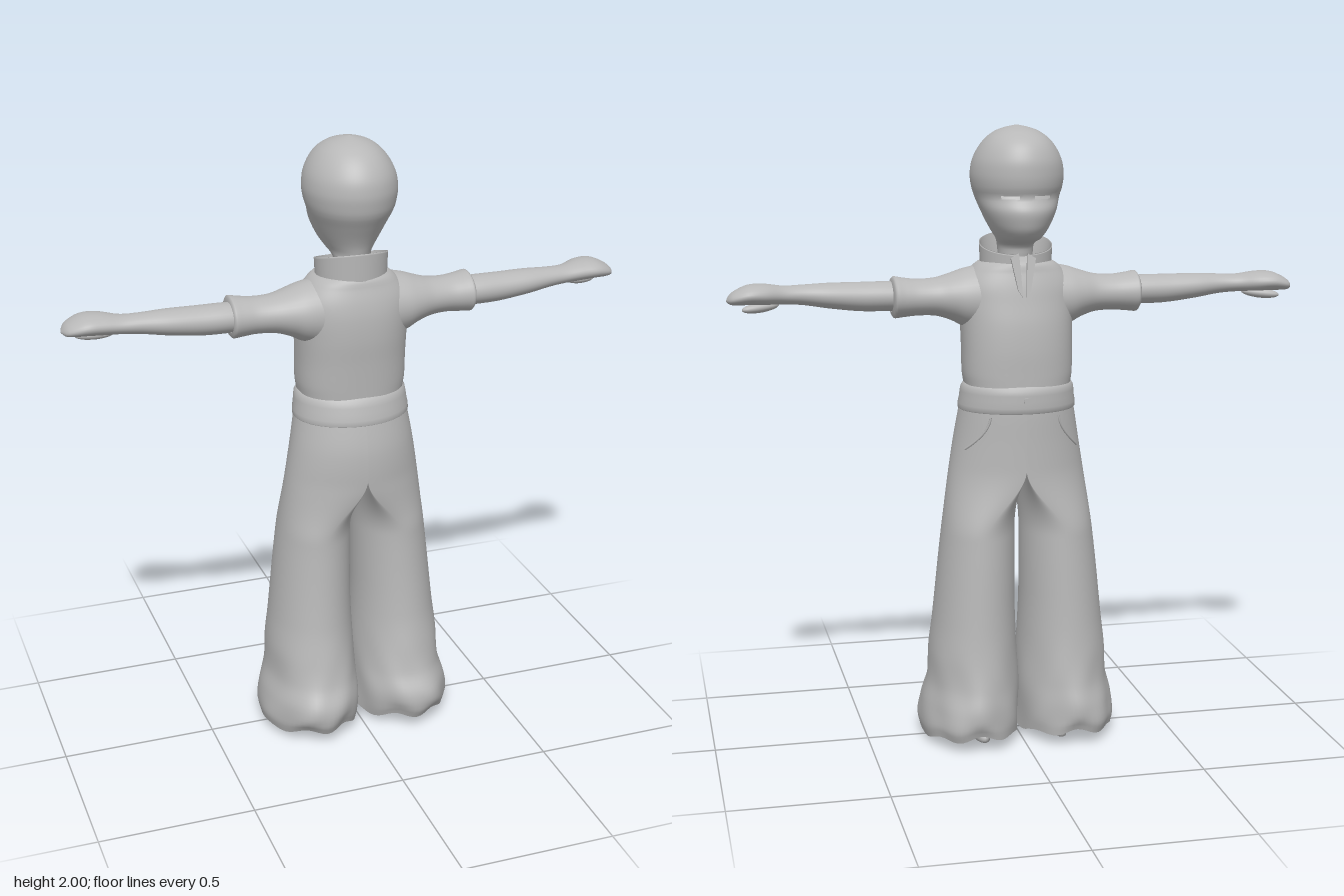
import * as THREE from 'three';

const { sin, cos, PI, max, min, abs, sign, pow } = Math;
const sub = THREE.MathUtils.smoothstep;

// Smooth interpolation of key rows [t, v1, v2, ...]
function track(rows) {
  const slope = (i, k) => {
    const a = rows[max(i - 1, 0)], b = rows[min(i + 1, rows.length - 1)];
    return (b[k] - a[k]) / (b[0] - a[0]);
  };
  return t => {
    let i = 0;
    while (i < rows.length - 2 && t > rows[i + 1][0]) i++;
    const p = rows[i], q = rows[i + 1], h = q[0] - p[0];
    const u = min(max((t - p[0]) / h, 0), 1), u2 = u * u, u3 = u2 * u;
    return p.map((v, k) => k === 0 ? t :
      v * (2 * u3 - 3 * u2 + 1) + q[k] * (3 * u2 - 2 * u3) +
      h * (slope(i, k) * (u3 - 2 * u2 + u) + slope(i + 1, k) * (u3 - u2)));
  };
}

const range = (a, b, n) => Array.from({ length: n + 1 }, (_, i) => a + (b - a) * i / n);

// Skin rings of points; skip(centre) leaves a face out
function loft(ts, n, point, { skip, arc } = {}) {
  const pos = [], idx = [], cols = arc ? n + 1 : n;
  const [a0, a1] = arc || [0, 2 * PI];
  for (const t of ts) for (let j = 0; j < cols; j++) pos.push(...point(t, a0 + (a1 - a0) * j / n));
  const at = (i, k) => pos[i * 3 + k];
  for (let i = 0; i < ts.length - 1; i++) for (let j = 0; j < n; j++) {
    const a = i * cols + j, b = i * cols + (j + 1) % cols, c = a + cols, d = b + cols;
    const mid = [0, 1, 2].map(k => (at(a, k) + at(b, k) + at(c, k) + at(d, k)) / 4);
    if (!(skip && skip(mid))) idx.push(a, c, b, b, c, d);
  }
  const g = new THREE.BufferGeometry();
  g.setAttribute('position', new THREE.Float32BufferAttribute(pos, 3));
  g.setIndex(idx);
  g.computeVertexNormals();
  return g;
}

function mirrored(geo) {
  const g = geo.clone().scale(-1, 1, 1), ix = g.index.array;
  for (let i = 0; i < ix.length; i += 3) [ix[i + 1], ix[i + 2]] = [ix[i + 2], ix[i + 1]];
  g.computeVertexNormals();
  return g;
}

// Upright ring from [y, front z, back z, half width], optionally squarish
function upright(rows, square = 1) {
  const f = track(rows), s = v => sign(v) * pow(abs(v), square);
  return (t, a) => {
    const [y, zf, zb, rx] = f(t);
    return [rx * s(cos(a)), y, (zf + zb) / 2 + (zb - zf) / 2 * s(sin(a))];
  };
}

// Limb ring along x from [x, centre y, half height, centre z, half depth]
function sideways(rows) {
  const f = track(rows);
  return (t, a) => {
    const [x, y, ry, z, rz] = f(t);
    return [x, y + ry * cos(a), z - rz * sin(a)];
  };
}

export function createModel() {
  const model = new THREE.Group();
  const grey = new THREE.MeshStandardMaterial({ color: 0xb8b8b8, side: THREE.DoubleSide });
  grey.name = 'plain grey';
  const add = (name, geo) => {
    const m = new THREE.Mesh(geo, grey);
    m.name = name;
    model.add(m);
    return m;
  };
  const pair = (name, geo) => {
    add('left' + name, geo);
    add('right' + name, mirrored(geo));
  };

  // Head and neck, with narrow eye slits
  const head = upright([
    [1.52, -0.055, 0.06, 0.055], [1.6, -0.06, 0.068, 0.056], [1.63, -0.075, 0.072, 0.06],
    [1.645, -0.14, 0.076, 0.068], [1.67, -0.172, 0.083, 0.085], [1.7, -0.186, 0.097, 0.102],
    [1.74, -0.192, 0.12, 0.12], [1.78, -0.174, 0.143, 0.134], [1.81, -0.184, 0.151, 0.143],
    [1.85, -0.189, 0.155, 0.147], [1.9, -0.184, 0.145, 0.137], [1.95, -0.155, 0.11, 0.107],
    [1.98, -0.105, 0.065, 0.07], [1.993, -0.06, 0.025, 0.035], [2, -0.018, -0.016, 0.001]]);
  const headRows = [...range(1.52, 1.77, 30), 1.777, 1.787, ...range(1.795, 1.96, 18),
    ...range(1.965, 1.99, 5), 1.994, 1.997, 2];
  add('head', loft(headRows, 72, head, {
    skip: ([x, y, z]) => z < -0.08 && abs(y - 1.782) < 0.004 && abs(abs(x) - 0.052) < 0.025
  }));

  // Shirt body
  add('shirtBody', loft(range(1.185, 1.59, 40), 64, upright([
    [1.185, -0.158, 0.118, 0.172], [1.22, -0.158, 0.12, 0.177], [1.3, -0.157, 0.125, 0.178],
    [1.38, -0.15, 0.131, 0.18], [1.45, -0.137, 0.13, 0.183], [1.5, -0.127, 0.122, 0.178],
    [1.545, -0.114, 0.108, 0.15], [1.575, -0.103, 0.096, 0.112], [1.59, -0.06, 0.06, 0.05]], 0.86)));

  // Sleeves with a turned cuff
  const sleeve = sideways([
    [0.1, 1.455, 0.11, 0, 0.105], [0.17, 1.458, 0.093, 0, 0.1], [0.21, 1.462, 0.076, 0, 0.09],
    [0.26, 1.463, 0.061, 0, 0.075], [0.32, 1.463, 0.058, -0.003, 0.07],
    [0.37, 1.464, 0.063, -0.004, 0.076], [0.395, 1.465, 0.066, -0.005, 0.08],
    [0.4, 1.465, 0.06, -0.003, 0.073], [0.402, 1.466, 0.047, 0.004, 0.058]]);
  pair('Sleeve', loft([...range(0.1, 0.39, 29), 0.395, 0.4, 0.402], 36, sleeve));

  // Arms running into mitten-like hands
  pair('Arm', loft([...range(0.34, 0.9, 50), 0.908, 0.914, 0.918, 0.92], 32, sideways([
    [0.34, 1.467, 0.045, 0.005, 0.055], [0.42, 1.468, 0.047, 0.006, 0.057],
    [0.5, 1.469, 0.046, 0.005, 0.055], [0.6, 1.475, 0.04, 0.003, 0.052],
    [0.68, 1.48, 0.032, 0.001, 0.043], [0.74, 1.482, 0.029, -0.006, 0.045],
    [0.8, 1.487, 0.033, -0.02, 0.062], [0.85, 1.488, 0.031, -0.024, 0.068],
    [0.89, 1.48, 0.023, -0.026, 0.055], [0.91, 1.474, 0.014, -0.026, 0.036],
    [0.92, 1.47, 0.001, -0.026, 0.002]])));
  pair('Thumb', new THREE.SphereGeometry(1, 20, 14).scale(0.062, 0.016, 0.022)
    .rotateY(0.3).rotateZ(-0.1).translate(0.815, 1.449, -0.035));

  // Standing collar, open at the front and higher at the back
  const collar = (t, a) => {
    const u = min(t, 1), inset = max(t - 1, 0) * 0.012, r = 1 + 0.03 * u;
    const z = -0.003 + (0.104 * r - inset) * sin(a);
    return [(0.114 * r - inset) * cos(a), 1.55 + u * (0.078 + 0.27 * z) - max(t - 1.4, 0) * 0.12, z];
  };
  const gap = 0.13;
  add('collar', loft([0, 0.2, 0.4, 0.6, 0.8, 0.95, 1, 1.4, 2], 56, collar,
    { arc: [-PI / 2 + gap, 1.5 * PI - gap] }));

  // Flaps either side of the neck opening
  const flap = new THREE.Shape([[0.006, 1.47], [0.02, 1.49], [0.04, 1.59], [0.014, 1.605], [0.01, 1.55]]
    .map(p => new THREE.Vector2(...p)));
  for (const s of [1, -1]) {
    const g = new THREE.ExtrudeGeometry(flap, { depth: 0.01, bevelEnabled: false });
    const p = g.attributes.position;
    for (let i = 0; i < p.count; i++) p.setZ(i, p.getZ(i) - 0.139 + (p.getY(i) - 1.47) * 0.17);
    g.computeVertexNormals();
    const m = add(s > 0 ? 'leftNeckFlap' : 'rightNeckFlap', g);
    m.scale.x = s;
  }

  // Wide trousers: each half blends from a leg tube to half of the hips
  const hips = track([
    [0.02, -0.222, 0.212, 0.318], [0.06, -0.232, 0.23, 0.325], [0.13, -0.232, 0.237, 0.315],
    [0.2, -0.215, 0.205, 0.298], [0.3, -0.2, 0.18, 0.293], [0.4, -0.19, 0.162, 0.281],
    [0.6, -0.178, 0.145, 0.26], [0.75, -0.17, 0.142, 0.242], [0.88, -0.168, 0.16, 0.224],
    [1, -0.166, 0.162, 0.205], [1.1, -0.165, 0.145, 0.188], [1.18, -0.16, 0.123, 0.174]]);
  const trouser = (t, a) => {
    const [y, zf, zb, X] = hips(t);
    const w = sub(t, 0.7, 0.92), low = 1 - sub(t, 0.04, 0.4), hem = 1 - sub(t, 0.02, 0.12);
    const inner = 0.012 * sub(t, 0.15, 0.5);
    const fold = 1 + low * (0.018 * sin(5 * a + 14 * t) + 0.012 * sin(9 * a - 22 * t));
    const c = (X + inner) / 2, r = (X - inner) / 2;
    const leg = c + r * fold * cos(a), hip = X * max(0, cos(a));
    const z = (zf + zb) / 2 + (zb - zf) / 2 * fold * sin(a);
    const lift = hem * (0.028 * pow(sin(a), 2) + 0.008 * sin(7 * a));
    return [max(0, leg * (1 - w) + hip * w), y + lift, z];
  };
  pair('TrouserHalf', loft(range(0.02, 1.18, 90), 64, trouser,
    { skip: ([x, y]) => x < 0.0005 && y > 0.8 }));

  // Waistband, with a button at the front
  add('waistband', loft([1.1, 1.104, 1.12, 1.14, 1.16, 1.175, 1.185, 1.189], 64, upright([
    [1.1, -0.163, 0.143, 0.187], [1.106, -0.171, 0.148, 0.192], [1.14, -0.171, 0.14, 0.187],
    [1.18, -0.169, 0.128, 0.181], [1.189, -0.156, 0.116, 0.17]])));
  add('button', new THREE.CylinderGeometry(0.011, 0.011, 0.01, 16)
    .rotateX(PI / 2).translate(0, 1.145, -0.172));

  // Slanted front pocket edges lying on the trousers
  const edge = range(0, 1, 8).map(u => {
    const p = trouser(1.09 - 0.11 * u, -0.95 + 0.45 * u * u);
    return new THREE.Vector3(...p);
  });
  pair('PocketEdge', new THREE.TubeGeometry(new THREE.CatmullRomCurve3(edge), 20, 0.004, 6));

  // Shoes and the shins hidden in the trouser legs
  const shoe = upright([
    [0, -0.13, 0.06, 0.03], [0.02, -0.132, 0.062, 0.032], [0.05, -0.09, 0.06, 0.032],
    [0.08, -0.04, 0.056, 0.03], [0.12, -0.02, 0.055, 0.03], [0.4, -0.035, 0.06, 0.042]]);
  const shoeAt = (t, a) => {
    const k = t < 0 ? 0.001 : 1, [x, y, z] = shoe(max(t, 0), a);
    return [0.13 + x * k, y, -0.035 + (z + 0.035) * k];
  };
  pair('Shoe', loft([-1, ...range(0, 0.12, 14), 0.2, 0.3, 0.4], 28, shoeAt));

  return model;
}
